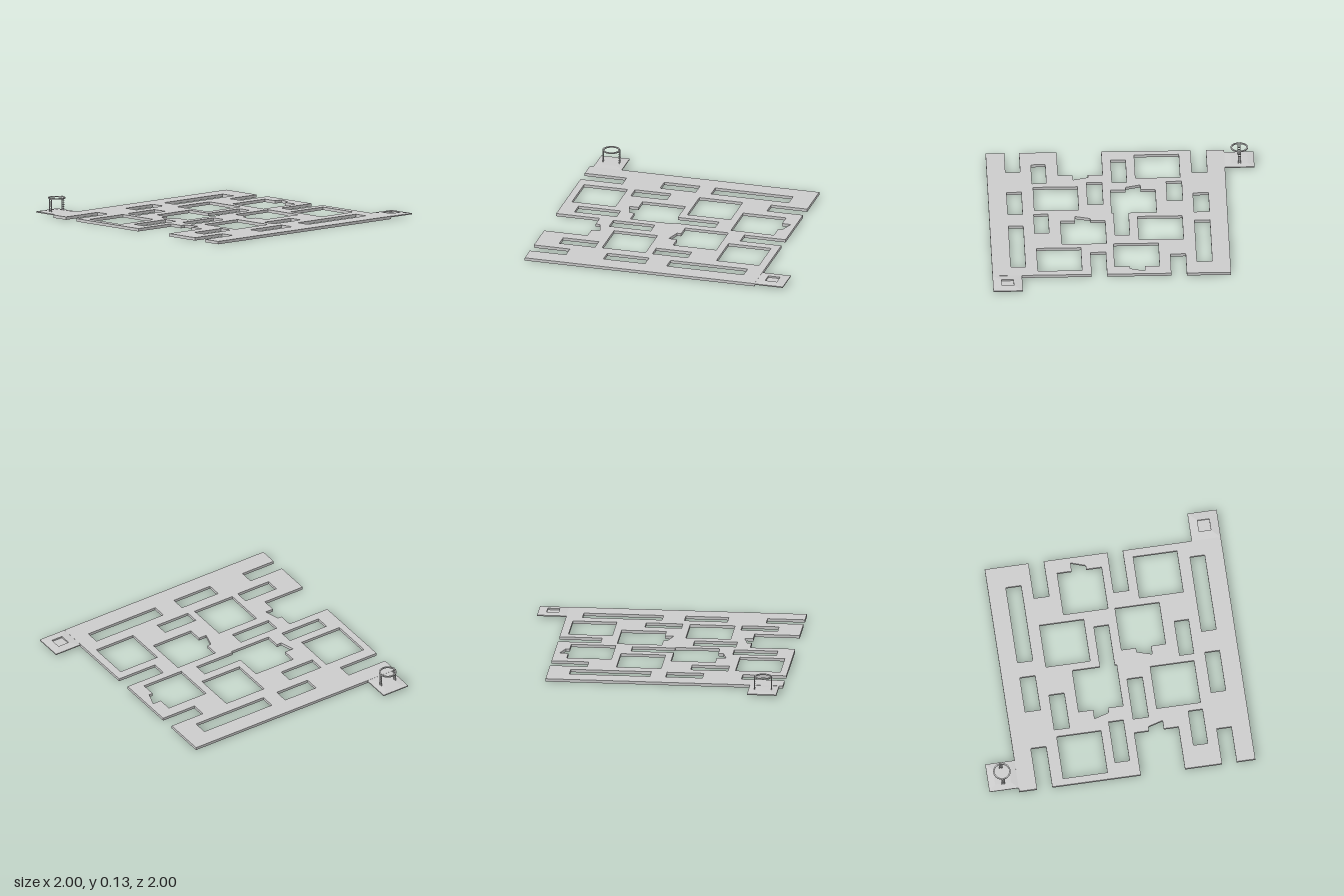
import * as THREE from 'three';

const material = new THREE.MeshStandardMaterial({ color: 0xcccccc, flatShading: true });
const PLATE = 0.022;

function addMesh(parent, name, geometry, x = 0, y = 0, z = 0) {
  const mesh = new THREE.Mesh(geometry, material);
  mesh.name = name;
  mesh.position.set(x, y, z);
  parent.add(mesh);
  return mesh;
}

const toPoints = (list) => list.map(([x, z]) => new THREE.Vector2(x, z));
const rect = (x0, x1, z0, z1) => [[x0, z0], [x1, z0], [x1, z1], [x0, z1]];

// Flat floor plate: outline with open notches, plus closed openings, as (x, z)
function plateGeometry() {
  const shape = new THREE.Shape(toPoints([
    [-0.78, -0.78],
    [-0.45, -0.78], [-0.45, -0.5], [-0.335, -0.5], [-0.335, -0.78],
    [0.145, -0.78], [0.145, -0.46], [0.26, -0.46], [0.26, -0.78],
    [1, -0.78], [1, 1],
    [0.86, 1], [0.86, 0.72], [0.75, 0.72], [0.75, 1],
    [0.47, 1], [0.47, 0.663], [0.36, 0.663], [0.36, 0.597],
    [0.247, 0.63], [0.247, 0.663], [0.137, 0.663], [0.137, 1],
    [-0.53, 1], [-0.53, 0.675], [-0.645, 0.675], [-0.645, 1],
    [-0.78, 1],
  ]));
  const openings = [
    // long and short slots
    rect(-0.645, -0.53, -0.615, -0.012),
    rect(-0.645, -0.53, 0.107, 0.383),
    rect(0.75, 0.86, -0.658, 0.06 - 0.12),
    rect(0.75, 0.86, 0.107, 0.43),
    rect(0.56, 0.667, -0.17, 0.105),
    rect(0.56, 0.667, 0.55, 0.826),
    rect(-0.45, -0.335, 0.275, 0.555),
    rect(0.145, 0.26, 0.233, 0.555),
    rect(-0.04, 0.07, 0.55, 0.877),
    // square rooms
    rect(0.33, 0.66, -0.72, -0.39),
    rect(0.33, 0.66, 0.16, 0.497),
    rect(-0.44, -0.107, -0.283, 0.053),
    rect(-0.44, -0.107, 0.61, 0.947),
    // rooms with slanted niches
    [[-0.25, -0.673], [-0.14, -0.673], [-0.14, -0.74], [-0.03, -0.703], [-0.03, -0.673],
      [0.085, -0.673], [0.085, -0.34], [-0.25, -0.34]],
    [[0.137, -0.335], [0.47, -0.335], [0.47, 0], [0.36, 0], [0.36, 0.065],
      [0.247, 0.032], [0.247, 0], [0.137, 0]],
    [[-0.25, 0.107], [-0.04, 0.107], [-0.04, -0.213], [0.07, -0.213], [0.07, 0.107],
      [0.085, 0.107], [0.085, 0.44], [-0.03, 0.44], [-0.03, 0.478], [-0.14, 0.51],
      [-0.14, 0.44], [-0.25, 0.44]],
  ];
  for (const opening of openings) shape.holes.push(new THREE.Path(toPoints(opening)));
  const geometry = new THREE.ExtrudeGeometry(shape, { depth: PLATE, bevelEnabled: false });
  return geometry.rotateX(Math.PI / 2).translate(0, PLATE, 0);
}

// Square tile from a four-sided lathe; profile is [half width, height]
function tileGeometry(profile) {
  const points = profile.map(([half, y]) => new THREE.Vector2(half * Math.SQRT2, y));
  return new THREE.LatheGeometry(points, 4, Math.PI / 4);
}

// Ring on two small ladder posts
function createRingTower() {
  const tower = new THREE.Group();
  tower.name = 'ringTower';
  const base = 0.022, top = 0.132, height = top - base;
  for (const z of [-0.063, 0.063]) {
    for (const x of [-0.01, 0.01]) {
      addMesh(tower, 'ladderRail', new THREE.BoxGeometry(0.005, height, 0.005), x, base + height / 2, z);
    }
    for (let i = 0; i < 6; i++) {
      addMesh(tower, 'ladderRung', new THREE.BoxGeometry(0.024, 0.005, 0.007), 0, 0.036 + i * 0.016, z);
    }
  }
  // hoop with a rectangular section
  const section = [[0.055, 0.12], [0.065, 0.12], [0.065, 0.129], [0.055, 0.129], [0.055, 0.12]];
  addMesh(tower, 'ring', new THREE.LatheGeometry(toPoints(section), 32));
  return tower;
}

export function createModel() {
  const model = new THREE.Group();
  model.name = 'floorLayout';
  addMesh(model, 'floorPlate', plateGeometry());

  // Corner tile with a sunken square
  addMesh(model, 'recessedTile', tileGeometry([
    [0, 0.013], [0.11, 0.013], [0.11, 0.021], [0.045, 0.028], [0.045, 0.016], [0, 0.016],
  ]), 0.89, 0, -0.89);

  // Corner tile carrying the tower
  addMesh(model, 'towerTile', tileGeometry([
    [0, 0.013], [0.11, 0.013], [0.11, 0.021], [0.06, 0.026], [0, 0.026],
  ]), -0.89, 0, 0.862);
  const tower = createRingTower();
  tower.position.set(-0.89, 0, 0.862);
  model.add(tower);
  return model;
}
